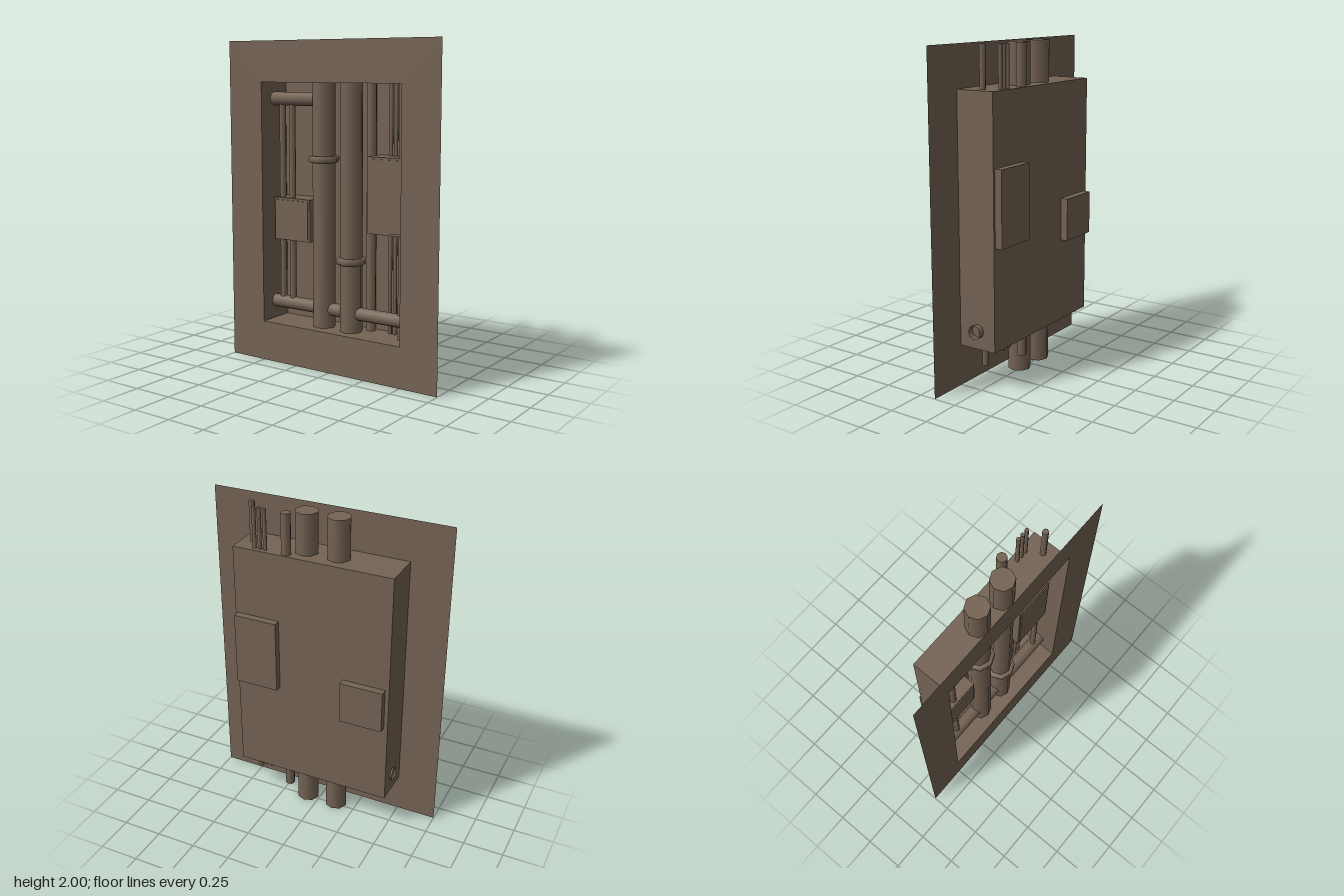
import * as THREE from 'three';
import { mergeGeometries } from 'three/addons/utils/BufferGeometryUtils.js';

const FRONT = 0.145, WALL = -0.1, BACK = -0.145, AXIS = 0.018;

export function createModel() {
  const model = new THREE.Group();
  model.name = 'wallPipeRecess';
  const brown = new THREE.MeshStandardMaterial({ color: 0x746354, side: THREE.DoubleSide });
  brown.name = 'dull brown';

  const add = (name, geometry, x = 0, y = 0, z = 0, parent = model) => {
    const mesh = new THREE.Mesh(geometry, brown);
    mesh.name = name;
    mesh.position.set(x, y, z);
    parent.add(mesh);
    return mesh;
  };

  // Wall sheet with a rectangular opening
  const rect = (path, x, y0, y1) =>
    path.moveTo(-x, y0).lineTo(x, y0).lineTo(x, y1).lineTo(-x, y1).closePath();
  const sheet = rect(new THREE.Shape(), 0.75, 0, 2);
  sheet.holes.push(rect(new THREE.Path(), 0.5, 0.25, 1.75));
  add('wallSheet', new THREE.ShapeGeometry(sheet), 0, 0, FRONT);

  // Recess: a box without its front face
  const recess = new THREE.BoxGeometry(1, 1.5, FRONT - WALL);
  const index = Array.from(recess.index.array);
  index.splice(24, 6);
  recess.setIndex(index);
  recess.clearGroups();
  add('recess', recess, 0, 1, (FRONT + WALL) / 2);

  // Vertical pipes, open below and capped on top
  const verticalPipe = (name, x, z, r, y0, y1) => {
    const h = y1 - y0;
    const tube = new THREE.CylinderGeometry(r, r, h, 8, 1, true);
    const cap = new THREE.CircleGeometry(r, 8);
    cap.rotateX(-Math.PI / 2).rotateY(Math.PI / 2).translate(0, h / 2, 0);
    add(name, mergeGeometries([tube, cap]), x, (y0 + y1) / 2, z);
  };
  verticalPipe('mainPipeRight', -0.12, AXIS, 0.07, 0, 2);
  verticalPipe('mainPipeLeft', 0.08, AXIS, 0.07, 0, 2);
  verticalPipe('mediumPipe', 0.172, -0.063, 0.03, 0.13, 2);
  verticalPipe('conduit', 0.43, AXIS, 0.018, 0.13, 2);
  for (const x of [0.307, 0.341, 0.375]) verticalPipe('thinConduit', x, -0.063, 0.012, 0.22, 2);
  for (const x of [-0.435, -0.36]) verticalPipe('boxConduit', x, AXIS, 0.02, 0.36, 1.65);

  // Horizontal cross pipes
  const crossPipe = (name, x0, x1, y) => {
    const tube = new THREE.CylinderGeometry(0.042, 0.042, x1 - x0, 8, 1, true);
    add(name, tube.rotateZ(Math.PI / 2), (x0 + x1) / 2, y, AXIS);
  };
  crossPipe('lowerCrossPipe', -0.51, 0.54, 0.363);
  crossPipe('upperCrossPipe', -0.5, -0.12, 1.648);

  // Collars around the main pipes
  const profile = [[0.065, -0.02], [0.085, -0.02], [0.094, -0.012], [0.094, 0.012], [0.085, 0.02], [0.065, 0.02]]
    .map(([r, y]) => new THREE.Vector2(r, y));
  for (const [x, y] of [[-0.12, 1.29], [0.08, 0.685]]) {
    add('pipeCollar', new THREE.LatheGeometry(profile, 8), x, y, AXIS);
  }

  // Junction boxes that pass through the back of the recess, with an inset lid
  const junctionBox = (name, x, y, w, h) => {
    const group = new THREE.Group();
    group.name = name;
    group.position.set(x, y, 0);
    model.add(group);
    const face = 0.05;
    add('boxBody', new THREE.BoxGeometry(w, h, face - BACK), 0, 0, (face + BACK) / 2, group);
    add('boxLid', new THREE.BoxGeometry(w - 0.026, h - 0.026, 0.008), 0, 0, face + 0.003, group);
  };
  junctionBox('largeJunctionBox', 0.349, 1.097, 0.274, 0.455);
  junctionBox('smallJunctionBox', -0.341, 0.902, 0.27, 0.265);

  return model;
}
